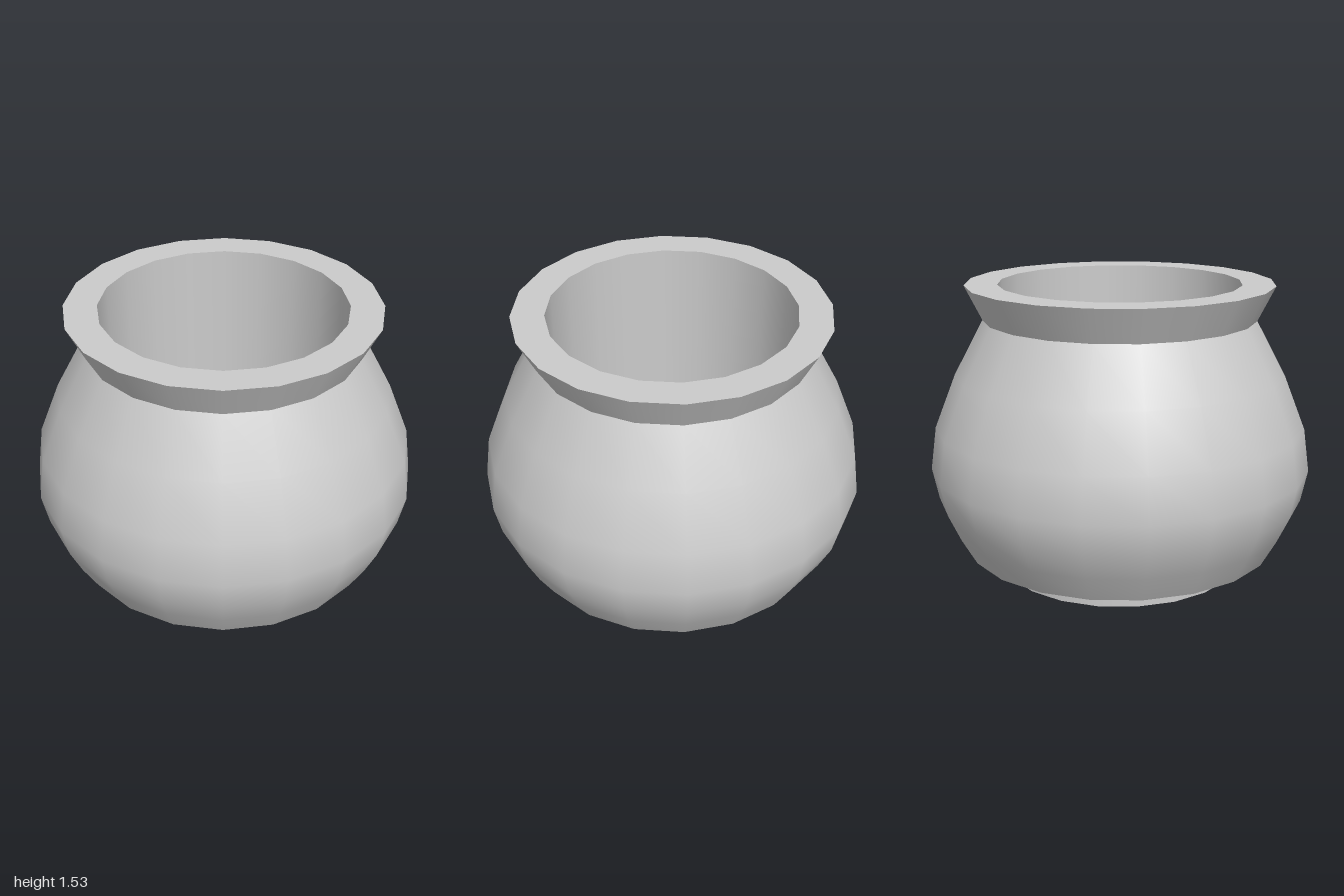
import * as THREE from 'three';

const SIDES = 20;

export function createModel() {
  const pot = new THREE.Group();
  pot.name = 'pot';
  const material = new THREE.MeshStandardMaterial({ color: 0xcccccc, side: THREE.DoubleSide });

  // Each part is its own lathe, so edges between parts stay sharp
  const addLathe = (name, profile) => {
    const points = profile.map(([r, y]) => new THREE.Vector2(r, y));
    const mesh = new THREE.Mesh(new THREE.LatheGeometry(points, SIDES), material);
    mesh.name = name;
    pot.add(mesh);
  };

  // Rounded belly, open underneath
  addLathe('belly', [
    [0.82, 0.12], [0.9, 0.26], [0.965, 0.4], [1, 0.565],
    [0.97, 0.79], [0.86, 1.07], [0.71, 1.35],
  ]);
  // Flared collar and flat lip
  addLathe('collar', [[0.71, 1.35], [0.8, 1.53]]);
  addLathe('lip', [[0.8, 1.53], [0.63, 1.53]]);
  // Straight inner wall, running through the pot and out below as the foot
  addLathe('innerWallAndFoot', [[0.63, 0], [0.63, 1.53]]);

  return pot;
}
